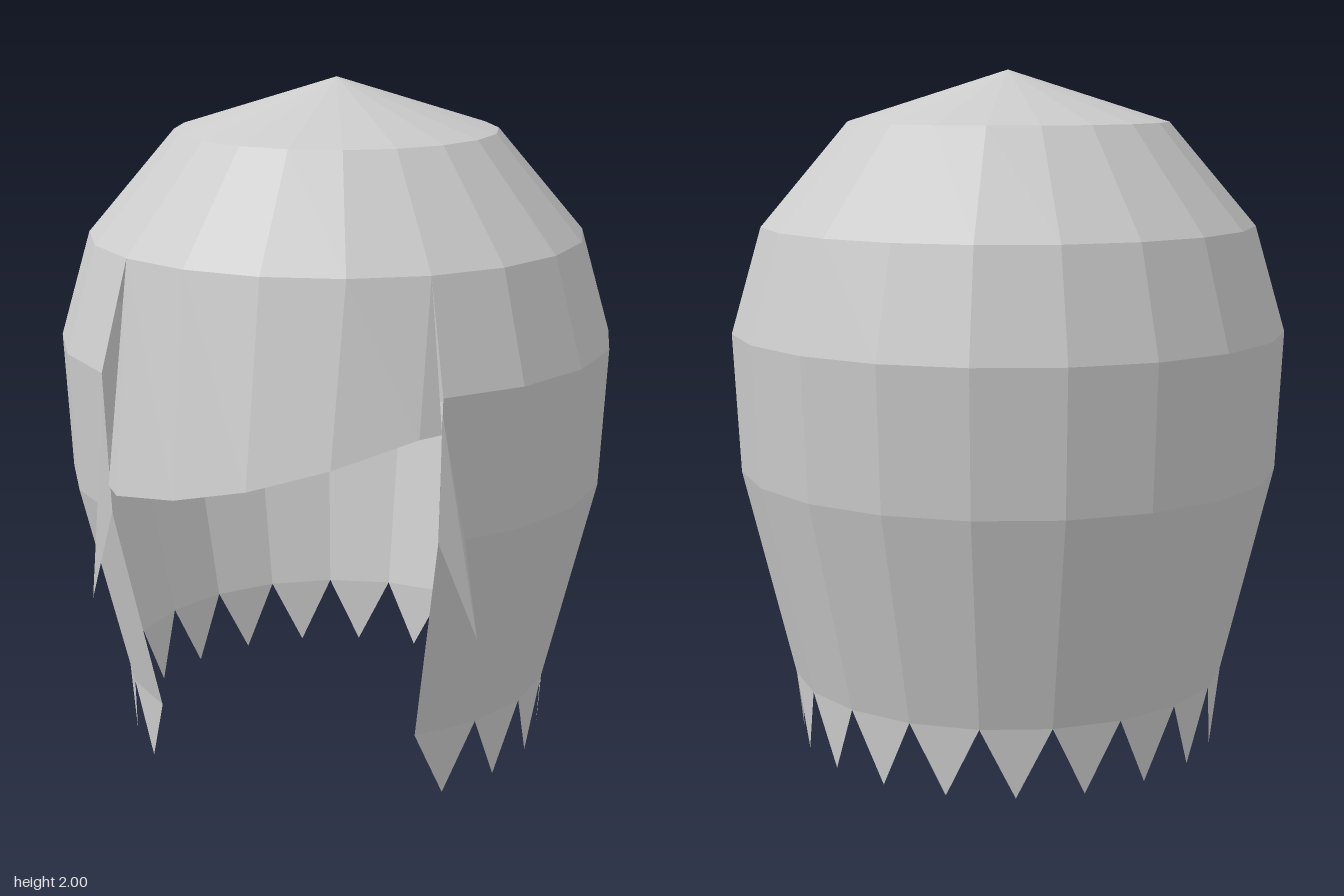
import * as THREE from 'three';

const STEP = Math.PI / 10; // 20 facets round the head
const CZ = -0.02;          // axis of the head
const material = new THREE.MeshStandardMaterial({
  color: 0xcccccc, flatShading: true, side: THREE.DoubleSide,
});

// Point on the head: facet number (0 = front, growing towards the left), radius, height
const at = (i, r, y) => [r * Math.sin(i * STEP), y, r * Math.cos(i * STEP) + CZ];

// Mesh from a list of triangles, corners counter-clockwise from outside
function mesh(name, triangles) {
  const geometry = new THREE.BufferGeometry();
  geometry.setAttribute('position', new THREE.Float32BufferAttribute(triangles.flat(2), 3));
  geometry.computeVertexNormals();
  const m = new THREE.Mesh(geometry, material);
  m.name = name;
  return m;
}

// Facets between two rings [radius, height], from facet i0 to i1
function band(upper, lower, i0, i1) {
  const tris = [];
  for (let i = i0; i < i1; i++) {
    const a = at(i, ...upper), b = at(i + 1, ...upper);
    const c = at(i, ...lower), d = at(i + 1, ...lower);
    tris.push([a, c, d], [a, d, b]);
  }
  return tris;
}

export function createModel() {
  const group = new THREE.Group();
  group.name = 'hair';

  const crown = [0.475, 1.85], brow = [0.73, 1.55], temple = [0.82, 1.24];
  const cheek = [0.80, 0.83], hem = [0.65, 0.205];

  // Crown: pointed cap and one full ring
  const cap = band(crown, brow, 0, 20);
  for (let i = 0; i < 20; i++) {
    cap.push([[0, 2, CZ], at(i, ...crown), at(i + 1, ...crown)]);
  }
  group.add(mesh('crown', cap));

  // Long hair round the sides and back, open over the face
  group.add(mesh('longHair', [
    ...band(brow, temple, 2, 18),
    ...band(temple, cheek, 2, 18),
    ...band(cheek, hem, 2, 18),
  ]));

  // Jagged ends, one point per facet
  const points = [];
  for (let i = 2; i < 18; i++) {
    points.push([at(i, ...hem), at(i + 0.5, 0.63, 0), at(i + 1, ...hem)]);
  }
  group.add(mesh('jaggedEnds', points));

  // Fringe: slanted lower edge, flared forward from the brow
  const lower = [
    [-0.475, 0.915, 0.637], [-0.43, 0.905, 0.69], [-0.22, 0.945, 0.803], [0, 1, 0.843],
    [0.22, 1.065, 0.803], [0.43, 1.135, 0.69], [0.48, 1.14, 0.643],
  ];
  const upper = [-2, -2, -1, 0, 1, 2, 2].map((i) => at(i, ...brow));
  const fringe = [];
  for (let i = 0; i < 6; i++) {
    fringe.push([upper[i], lower[i], lower[i + 1]]);
    if (i > 0 && i < 5) fringe.push([upper[i], lower[i + 1], upper[i + 1]]);
  }
  group.add(mesh('fringe', fringe));

  // Pointed locks in front of the ears, mirrored
  for (const s of [1, -1]) {
    const top = [s * 0.48, 1.2, 0.643], front = [s * 0.472, 0.83, 0.628];
    const back = [s * 0.535, 0.8, 0.57], tip = [s * 0.568, 0.54, 0.56];
    const lock = [[top, front, tip], [top, tip, back], [front, back, tip]];
    if (s < 0) lock.forEach((t) => t.reverse());
    group.add(mesh(s > 0 ? 'leftLock' : 'rightLock', lock));
  }
  return group;
}
